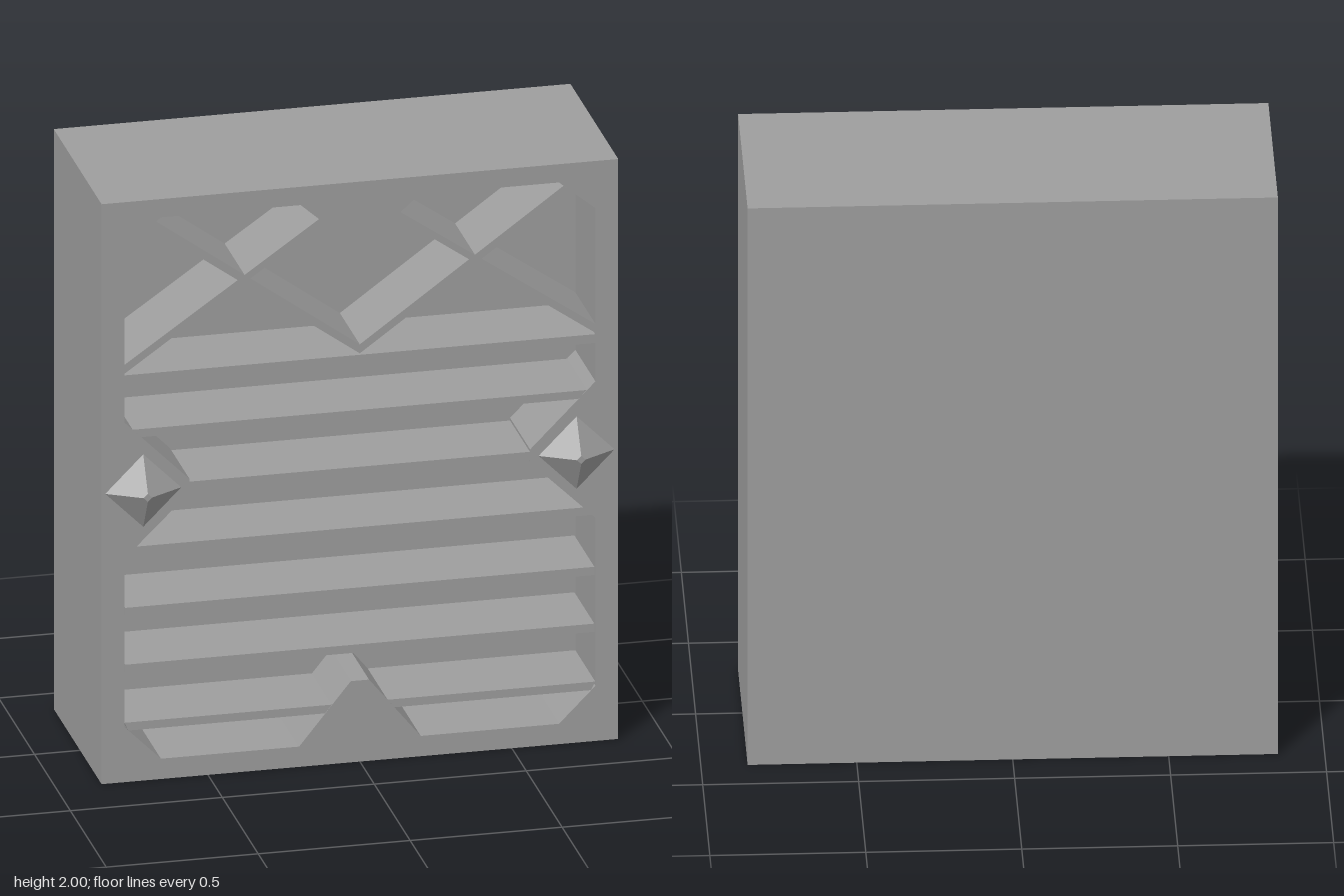
import * as THREE from 'three';

const FRONT = 0.3, BACK = -0.367, RECESS = 0.02; // z of front face, back panel, niche back
const mat = new THREE.MeshStandardMaterial({ color: 0x9d9d9d, flatShading: true, side: THREE.DoubleSide });

function add(parent, name, geometry, x = 0, y = 0, z = 0) {
  const mesh = new THREE.Mesh(geometry, mat);
  mesh.name = name;
  mesh.position.set(x, y, z);
  parent.add(mesh);
}

const toVec = (pts) => pts.map(([x, y]) => new THREE.Vector2(x, y));

// Band of flat walls along a path, from z0 to z1; faces point to the left of travel
function walls(pts, z0, z1, closed) {
  const pos = [];
  const count = closed ? pts.length : pts.length - 1;
  for (let i = 0; i < count; i++) {
    const [ax, ay] = pts[i], [bx, by] = pts[(i + 1) % pts.length];
    pos.push(ax, ay, z0, ax, ay, z1, bx, by, z1, ax, ay, z0, bx, by, z1, bx, by, z0);
  }
  const g = new THREE.BufferGeometry();
  g.setAttribute('position', new THREE.Float32BufferAttribute(pos, 3));
  g.computeVertexNormals();
  return g;
}

// Board running from the niche back to just behind the front face
function addBoard(parent, name, pts) {
  const shape = new THREE.Shape(toVec(pts));
  const depth = FRONT - RECESS - 0.002;
  add(parent, name, new THREE.ExtrudeGeometry(shape, { depth, bevelEnabled: false }), 0, 0, RECESS);
}

export function createModel() {
  const model = new THREE.Group();
  model.name = 'bookcase';

  // Case: open underneath
  const outer = [[-0.85, 0], [-0.85, 2], [0.85, 2], [0.85, 0]];
  add(model, 'caseSides', walls(outer, BACK, FRONT, false));
  add(model, 'backPanel', new THREE.ShapeGeometry(new THREE.Shape(toVec(outer))).rotateY(Math.PI), 0, 0, BACK);

  // Niche outline: right half from bottom to top, then mirrored
  const half = [[0.03, 0.28], [0.2, 0.07], [0.655, 0.07], [0.775, 0.19], [0.775, 0.77], [0.56, 0.98],
    [0.56, 1.025], [0.775, 1.24], [0.775, 1.838], [0.655, 1.937], [0.195, 1.937], [0.03, 1.79]];
  const niche = [...half, ...half.map(([x, y]) => [-x, y]).reverse()];

  // Front frame with the niche cut out, niche walls and niche back
  const frame = new THREE.Shape(toVec(outer));
  frame.holes.push(new THREE.Path(toVec(niche)));
  add(model, 'frontFrame', new THREE.ShapeGeometry(frame), 0, 0, FRONT);
  add(model, 'nicheWalls', walls(niche, RECESS, FRONT, true));
  add(model, 'nicheBack', new THREE.ShapeGeometry(new THREE.Shape(toVec(niche))), 0, 0, RECESS);

  // Straight shelves: [bottom, top, half width at bottom, half width at top]
  const shelves = [
    [1.372, 1.402, 0.775, 0.775], [1.184, 1.212, 0.719, 0.747], [0.988, 1.016, 0.56, 0.56],
    [0.78, 0.808, 0.765, 0.736], [0.572, 0.6, 0.772, 0.772], [0.376, 0.404, 0.772, 0.772],
    [0.176, 0.204, 0.761, 0.775],
  ];
  for (const [y0, y1, w0, w1] of shelves) {
    addBoard(model, 'shelf', [[-w0, y0], [w0, y0], [w1, y1], [-w1, y1]]);
  }

  // Crossed diagonal shelves
  const diagonals = [
    [[0.775, 1.407], [0.775, 1.438], [0.13, 1.885], [0.115, 1.87]],
    [[0, 1.407], [0, 1.438], [0.67, 1.923], [0.692, 1.906]],
  ];
  for (const s of [-1, 1]) {
    for (const pts of diagonals) addBoard(model, 'diagonalShelf', pts.map(([x, y]) => [s * x, y]));
  }

  // Diamond studs
  for (const s of [-1, 1]) {
    const stud = new THREE.CylinderGeometry(0.014, 0.125, 0.065, 4).rotateX(Math.PI / 2);
    add(model, 'diamondStud', stud, s * 0.713, 1, FRONT + 0.0325);
  }
  return model;
}
